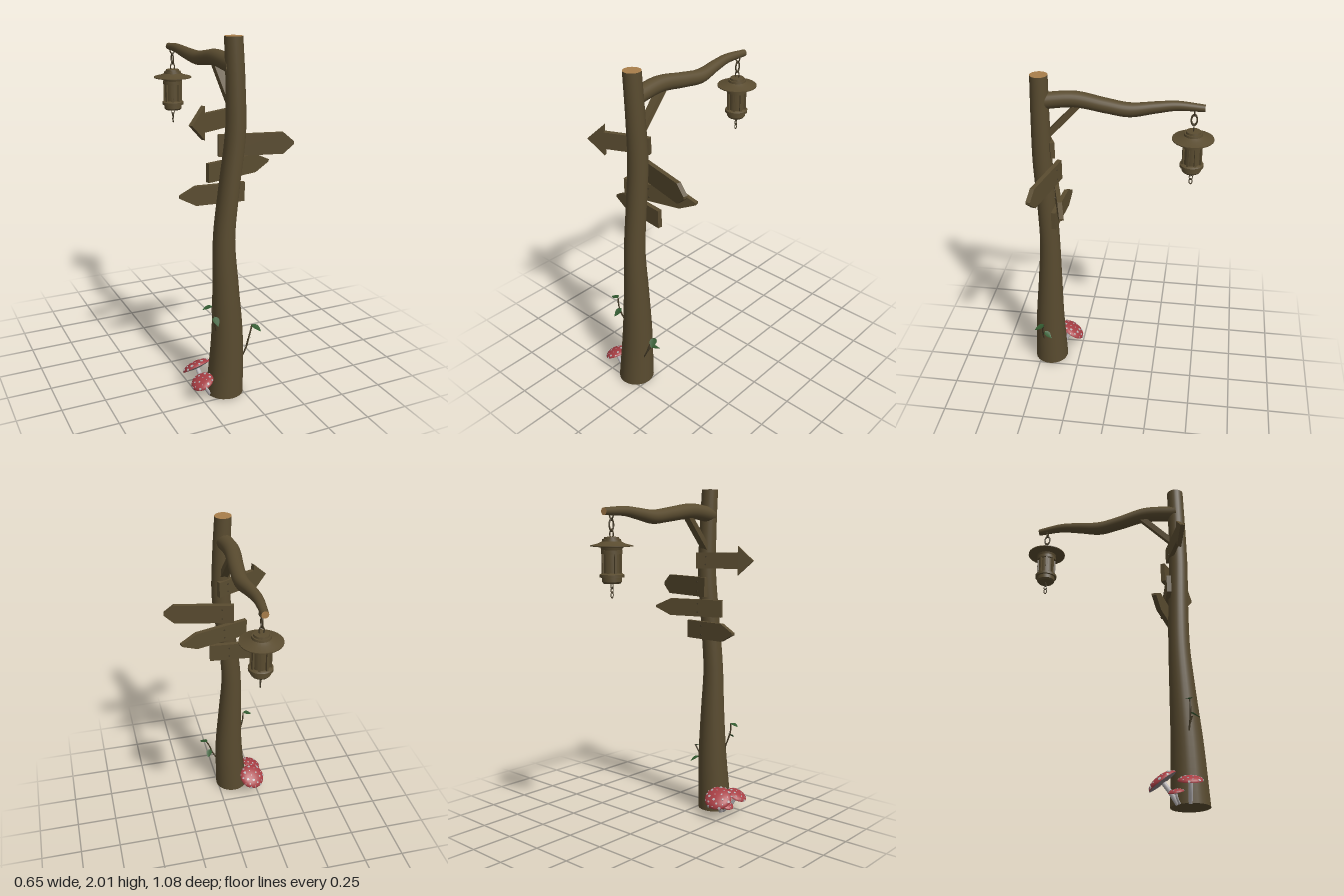
import * as THREE from 'three';
import { toCreasedNormals } from 'three/addons/utils/BufferGeometryUtils.js';

const V = (x, y, z) => new THREE.Vector3(x, y, z);
const UP = V(0, 1, 0);

export function createModel() {
  const root = new THREE.Group();
  root.name = 'signpost';
  const mat = (name, color, side = THREE.FrontSide) => {
    const m = new THREE.MeshStandardMaterial({ color, side });
    m.name = name;
    return m;
  };
  const wood = mat('wood', 0x5a4c30);
  const cutWood = mat('cut wood', 0xa87e4b);
  const dark = mat('dark iron', 0x453b27);
  const red = mat('cap red', 0xa83e44);
  const pale = mat('pale stem', 0xb8b4b6);
  const gill = mat('gill grey', 0x857c7f, THREE.DoubleSide);
  const leafGreen = mat('leaf green', 0x325a30, THREE.DoubleSide);

  const add = (name, geo, material, parent = root) => {
    const m = new THREE.Mesh(geo, material);
    m.name = name;
    parent.add(m);
    return m;
  };

  // Round timber whose rings follow [x, y, z, radius] stations; axis 'y' or '-z'
  const timber = (name, stations, axis, mats) => {
    const path = new THREE.CatmullRomCurve3(stations.map(s => V(s[0], s[1], s[2])));
    const radii = new THREE.CatmullRomCurve3(stations.map(s => V(s[3], 0, 0)));
    const g = new THREE.CylinderGeometry(1, 1, 1, 24, 40);
    const p = g.attributes.position, n = g.attributes.normal;
    for (let i = 0; i < p.count; i++) {
      const t = THREE.MathUtils.clamp(p.getY(i) + 0.5, 0, 1);
      const c = path.getPoint(t), r = radii.getPoint(t).x;
      const a = p.getX(i) * r, b = p.getZ(i) * r;
      if (axis === 'y') p.setXYZ(i, c.x + a, c.y, c.z + b);
      else {
        p.setXYZ(i, c.x + a, c.y + b, c.z);
        n.setXYZ(i, n.getX(i), n.getZ(i), -n.getY(i));
      }
    }
    return add(name, g, mats);
  };

  timber('post', [
    [-0.095, 0, 0.435, 0.106], [-0.077, 0.35, 0.428, 0.089], [-0.083, 0.65, 0.416, 0.073],
    [-0.09, 0.92, 0.408, 0.061], [-0.063, 1.2, 0.408, 0.058], [-0.03, 1.5, 0.412, 0.056],
    [-0.033, 1.75, 0.413, 0.052], [-0.046, 2, 0.412, 0.049],
  ], 'y', [wood, cutWood, wood]);

  timber('arm', [
    [-0.045, 1.85, 0.42, 0.047], [-0.052, 1.87, 0.22, 0.045], [-0.036, 1.85, 0.05, 0.042],
    [-0.031, 1.835, -0.08, 0.04], [-0.047, 1.85, -0.22, 0.033], [-0.053, 1.863, -0.33, 0.027],
    [-0.046, 1.86, -0.48, 0.02],
  ], '-z', [wood, cutWood, wood]);

  // Diagonal brace under the arm
  const beam = (name, a, b, geo, m, parent = root) => {
    const mesh = add(name, geo, m, parent);
    mesh.position.copy(a).lerp(b, 0.5);
    mesh.quaternion.setFromUnitVectors(UP, b.clone().sub(a).normalize());
    return mesh;
  };
  const b0 = V(-0.04, 1.63, 0.4), b1 = V(-0.048, 1.86, 0.185);
  beam('brace', b0, b1, new THREE.BoxGeometry(0.045, b0.distanceTo(b1), 0.032), wood);

  // Sign boards: tail (x, z) to tip (x, z); barb widens the arrow head
  const board = (name, x0, z0, x1, z1, y, h, head, barb) => {
    const L = Math.hypot(x1 - x0, z1 - z0), k = h / 2, q = k + barb, s = new THREE.Shape();
    s.moveTo(0, -k);
    s.lineTo(L - head, -k);
    if (barb) s.lineTo(L - head, -q);
    s.lineTo(L, barb ? 0 : -k * 0.12);
    if (!barb) s.lineTo(L, k * 0.12);
    if (barb) s.lineTo(L - head, q);
    s.lineTo(L - head, k);
    s.lineTo(0, k);
    const grp = new THREE.Group();
    grp.name = name;
    grp.position.set(x0, y, z0);
    grp.rotation.y = Math.atan2(z0 - z1, x1 - x0);
    root.add(grp);
    const g = new THREE.ExtrudeGeometry(s, { depth: 0.026, bevelEnabled: false });
    g.translate(0, 0, -0.013);
    add('plank', g, wood, grp);
    for (const v of [-0.25, 0.25]) {
      const nail = add('nail', new THREE.CylinderGeometry(0.005, 0.005, 0.032, 8), dark, grp);
      nail.rotation.x = Math.PI / 2;
      nail.position.set(Math.abs(x0 + 0.04) + 0.02, v * h, 0);
    }
  };
  board('topSign', 0, 0.345, -0.32, 0.493, 1.577, 0.096, 0.095, 0.04);
  board('secondSign', -0.09, 0.327, 0.318, 0.422, 1.418, 0.118, 0.06, 0);
  board('thirdSign', -0.175, 0.377, 0.248, 0.258, 1.288, 0.104, 0.1, 0);
  board('bottomSign', 0.058, 0.347, -0.31, 0.313, 1.153, 0.108, 0.09, 0);

  // Lantern, turned body with upright bars
  const lantern = new THREE.Group();
  lantern.name = 'lantern';
  lantern.position.set(-0.046, 0, -0.425);
  root.add(lantern);
  const turn = (name, pts) => add(name, toCreasedNormals(
    new THREE.LatheGeometry(pts.map(p => new THREE.Vector2(p[0], p[1])), 24), 0.6), wood, lantern);
  turn('lanternRoof', [[0, 1.65], [0.055, 1.655], [0.06, 1.672], [0.115, 1.677], [0.115, 1.682],
    [0.075, 1.692], [0.052, 1.703], [0.05, 1.715], [0.042, 1.715], [0.04, 1.726], [0, 1.73]]);
  turn('lanternCore', [[0, 1.51], [0.047, 1.51], [0.047, 1.66], [0, 1.66]]);
  turn('lanternBase', [[0, 1.48], [0.046, 1.48], [0.054, 1.49], [0.054, 1.513], [0.066, 1.513],
    [0.066, 1.528], [0.055, 1.535], [0, 1.535]]);
  turn('lanternCollar', [[0, 1.637], [0.058, 1.637], [0.058, 1.658], [0, 1.658]]);
  for (let i = 0; i < 8; i++) {
    const a = (i + 0.5) * Math.PI / 4;
    const bar = add('lanternBar', new THREE.BoxGeometry(0.012, 0.125, 0.012), wood, lantern);
    bar.position.set(Math.sin(a) * 0.051, 1.585, Math.cos(a) * 0.051);
    bar.rotation.y = a;
  }

  // Chain links above and below: [centre y, half height, half width, turn]
  for (const [y, hh, hw, turnY] of [[1.79, 0.037, 0.016, 1], [1.84, 0.024, 0.014, 0],
    [1.742, 0.027, 0.013, 0], [1.467, 0.019, 0.009, 0], [1.444, 0.019, 0.009, 1],
    [1.418, 0.02, 0.009, 1]]) {
    const thick = hw * 0.28;
    const g = new THREE.TorusGeometry(hw, thick, 6, 16);
    g.scale(1, hh / (hw + thick), 1);
    const link = add('chainLink', g, dark, lantern);
    link.position.y = y;
    link.rotation.y = turnY * Math.PI / 2;
  }

  // Spotted mushrooms: cap centre, cap radius, cap direction, foot
  const mushroom = (c, r, dir, foot, spots) => {
    const grp = new THREE.Group();
    grp.name = 'mushroom';
    root.add(grp);
    const mid = c.clone().addScaledVector(dir, -r * 0.7);
    const stemPath = new THREE.CatmullRomCurve3([foot, mid, c]);
    add('stem', new THREE.TubeGeometry(stemPath, 8, r * 0.16, 10), pale, grp);
    const cap = new THREE.Group();
    cap.name = 'cap';
    cap.position.copy(c);
    cap.quaternion.setFromUnitVectors(UP, dir.clone().normalize());
    grp.add(cap);
    const h = r * 0.42;
    const dome = new THREE.SphereGeometry(r, 20, 8, 0, Math.PI * 2, 0, Math.PI / 2);
    dome.scale(1, 0.42, 1);
    add('capTop', dome, red, cap);
    add('gills', new THREE.CylinderGeometry(r, r * 0.25, r * 0.1, 20, 1, true), gill, cap)
      .position.y = -r * 0.05;
    for (let i = 0; i < spots; i++) {
      const th = Math.acos(1 - 0.85 * (i + 0.5) / spots), ph = i * 2.4;
      const d = V(Math.sin(th) * Math.cos(ph), Math.cos(th), Math.sin(th) * Math.sin(ph));
      const n = V(d.x / r, d.y / h, d.z / r).normalize();
      const spot = add('spot', new THREE.CylinderGeometry(1, 1, 0.003, 6), pale, cap);
      const w = r * (0.05 + 0.03 * (i % 3));
      spot.scale.set(w, 1, w);
      spot.position.set(d.x * r, d.y * h, d.z * r).addScaledVector(n, 0.0005);
      spot.quaternion.setFromUnitVectors(UP, n);
    }
  };
  mushroom(V(-0.215, 0.112, 0.315), 0.085, V(-0.2, 0.8, -0.55), V(-0.18, 0, 0.385), 24);
  mushroom(V(-0.245, 0.1, 0.463), 0.066, V(-0.4, 0.88, 0.08), V(-0.19, 0.0, 0.45), 20);
  mushroom(V(-0.23, 0.05, 0.385), 0.042, V(-0.35, 0.9, -0.1), V(-0.195, 0, 0.395), 12);

  // Twigs and folded leaves
  const twig = pts => add('twig', new THREE.TubeGeometry(
    new THREE.CatmullRomCurve3(pts), 12, 0.0045, 6), dark);
  const leaf = (base, tip, width) => {
    const axis = tip.clone().sub(base), side = axis.clone().cross(UP).normalize();
    const pos = [], idx = [];
    for (let i = 0; i <= 6; i++) {
      const t = i / 6, w = width * Math.sin(Math.PI * Math.pow(t, 0.8));
      const c = base.clone().addScaledVector(axis, t);
      for (const s of [-1, 0, 1]) {
        const q = c.clone().addScaledVector(side, s * w);
        q.y += Math.abs(s) * w * 0.25;
        pos.push(q.x, q.y, q.z);
      }
      if (i < 6) for (const j of [0, 1]) {
        const k = i * 3 + j;
        idx.push(k, k + 1, k + 3, k + 1, k + 4, k + 3);
      }
    }
    const g = new THREE.BufferGeometry();
    g.setAttribute('position', new THREE.Float32BufferAttribute(pos, 3));
    g.setIndex(idx);
    g.computeVertexNormals();
    add('leaf', g, leafGreen);
  };
  twig([V(-0.14, 0.34, 0.44), V(-0.165, 0.43, 0.46), V(-0.185, 0.5, 0.47), V(-0.188, 0.56, 0.47)]);
  twig([V(-0.165, 0.43, 0.46), V(-0.17, 0.47, 0.475)]);
  leaf(V(-0.188, 0.56, 0.47), V(-0.245, 0.545, 0.465), 0.02);
  leaf(V(-0.172, 0.49, 0.463), V(-0.175, 0.455, 0.52), 0.02);
  twig([V(0, 0.2, 0.46), V(0.03, 0.26, 0.46), V(0.05, 0.32, 0.455), V(0.075, 0.38, 0.44)]);
  twig([V(0.03, 0.26, 0.46), V(0.05, 0.3, 0.445)]);
  leaf(V(0.05, 0.305, 0.445), V(0.077, 0.275, 0.395), 0.02);
  leaf(V(0.075, 0.38, 0.435), V(0.105, 0.355, 0.495), 0.022);

  return root;
}
